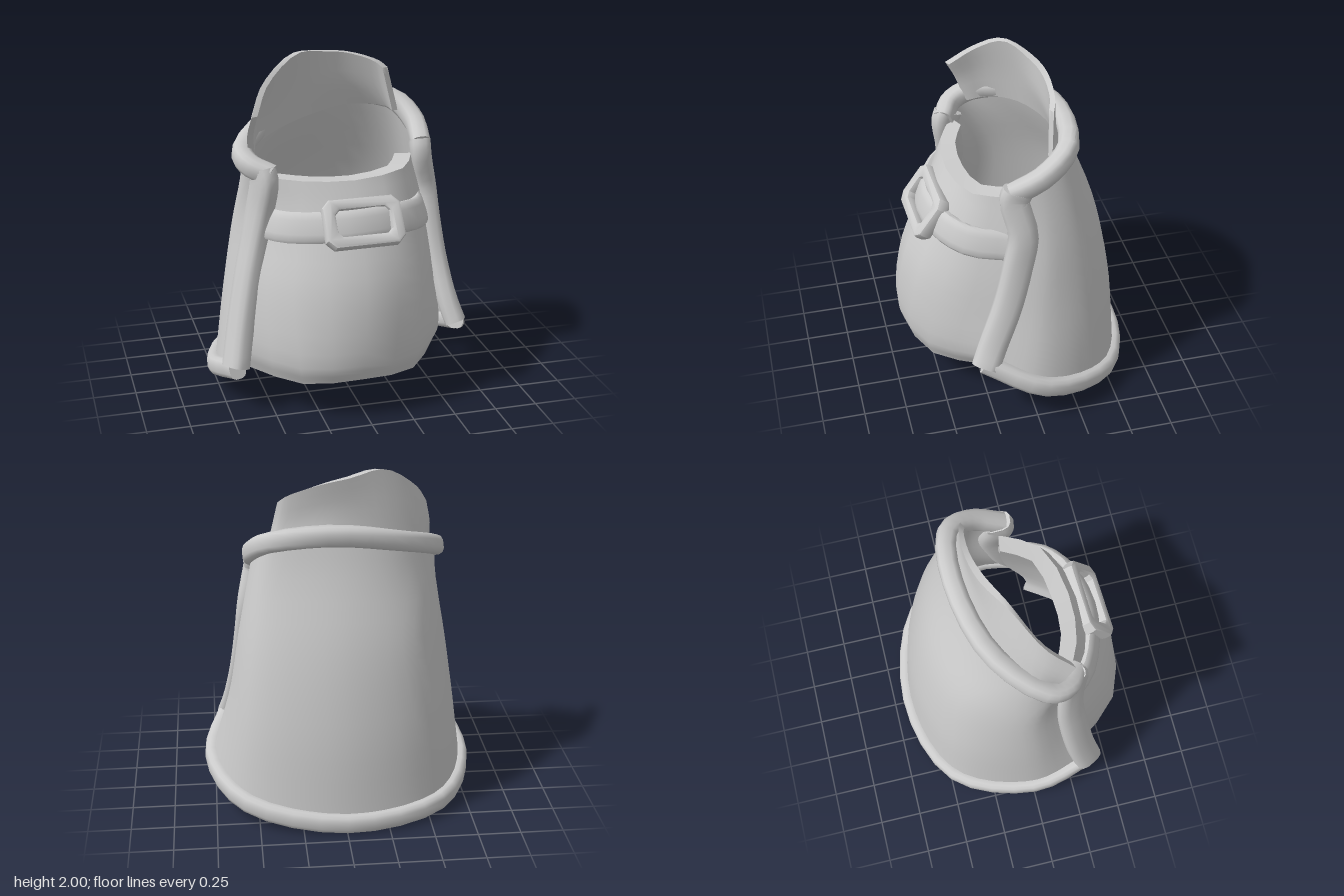
import * as THREE from 'three';
import { toCreasedNormals } from 'three/addons/utils/BufferGeometryUtils.js';

const V = (p) => new THREE.Vector3(...p);
const curve = (pts) => new THREE.CatmullRomCurve3(pts.map((p) => (p.isVector3 ? p : V(p))), false, 'centripetal');
const material = new THREE.MeshStandardMaterial({ color: 0xcccccc, side: THREE.DoubleSide });

// Skin a list of closed rings, closing both ends flat
function skin(name, rings) {
  const fold = (r) => r.map((p, j) => p.clone().lerp(r[r.length - 1 - j], 0.5));
  const all = [fold(rings[0]), ...rings, fold(rings[rings.length - 1])];
  const n = rings[0].length, pos = [], idx = [];
  all.forEach((r) => r.forEach((p) => pos.push(p.x, p.y, p.z)));
  for (let i = 0; i < all.length - 1; i++) {
    for (let j = 0; j < n; j++) {
      const k = (j + 1) % n;
      const a = i * n + j, b = i * n + k, c = (i + 1) * n + k, d = (i + 1) * n + j;
      idx.push(a, b, c, a, c, d);
    }
  }
  const g = new THREE.BufferGeometry();
  g.setAttribute('position', new THREE.Float32BufferAttribute(pos, 3));
  g.setIndex(idx);
  const mesh = new THREE.Mesh(toCreasedNormals(g, 0.85), material);
  mesh.name = name;
  return mesh;
}

// Thick cloth lofted through rows (top to bottom), thickened towards the centre
function shell(name, rows, thickTop, thickBottom, cols, steps) {
  const rowCurves = rows.map(curve), rings = [];
  for (let i = 0; i <= cols; i++) {
    const down = curve(rowCurves.map((c) => c.getPoint(i / cols)));
    const outer = down.getPoints(steps);
    const inner = outer.map((p, j) => {
      const s = 1 - THREE.MathUtils.lerp(thickTop, thickBottom, j / steps) / Math.hypot(p.x, p.z);
      return new THREE.Vector3(p.x * s, p.y, p.z * s);
    });
    rings.push([...outer, ...inner.reverse()]);
  }
  return skin(name, rings);
}

// Padded band swept along a path: w is half width, h is half thickness
function band(name, pts, w, h, segs, lean = 0, power = 0.7) {
  const c = curve(pts), rings = [];
  for (let i = 0; i <= segs; i++) {
    const p = c.getPoint(i / segs), t = c.getTangent(i / segs);
    const n = new THREE.Vector3(p.x, 0, p.z).normalize();
    n.y = lean;
    n.addScaledVector(t, -n.dot(t)).normalize();
    const b = new THREE.Vector3().crossVectors(t, n);
    const ring = [];
    for (let j = 0; j < 12; j++) {
      const a = ((j + 0.5) / 12) * Math.PI * 2;
      const bend = (v) => Math.sign(v) * Math.abs(v) ** power;
      ring.push(p.clone().addScaledVector(n, h * bend(Math.cos(a))).addScaledVector(b, w * bend(Math.sin(a))));
    }
    rings.push(ring);
  }
  return skin(name, rings);
}

// Rectangle with cut corners
function cutRect(target, w, h, c) {
  const pts = [[-w + c, -h], [w - c, -h], [w, -h + c], [w, h - c], [w - c, h], [-w + c, h], [-w, h - c], [-w, -h + c]];
  return target.setFromPoints(pts.map(([x, y]) => new THREE.Vector2(x, y)));
}

export function createModel() {
  const model = new THREE.Group();
  model.name = 'openCoat';

  // Coat, from the left front edge around the back to the right front edge
  const neck = [[0.48, 1.45, 0.09], [0.49, 1.55, -0.09], [0.4, 1.65, -0.24], [0.05, 1.69, -0.275],
    [-0.35, 1.61, -0.16], [-0.59, 1.49, 0.1], [-0.57, 1.44, 0.22], [-0.46, 1.39, 0.29]];
  const chest = [[0.53, 1.12, 0.05], [0.58, 1.1, -0.12], [0.48, 1.13, -0.35], [0.02, 1.15, -0.475],
    [-0.43, 1.12, -0.34], [-0.63, 1.08, 0], [-0.56, 1.08, 0.22]];
  const waist = [[0.58, 0.72, 0.15], [0.65, 0.67, -0.1], [0.53, 0.64, -0.43], [0, 0.62, -0.595],
    [-0.51, 0.62, -0.43], [-0.7, 0.64, 0], [-0.63, 0.68, 0.26]];
  const hem = [[0.65, 0.4, 0.3], [0.76, 0.24, -0.05], [0.56, 0.13, -0.47], [0, 0.065, -0.645],
    [-0.56, 0.09, -0.47], [-0.765, 0.15, 0], [-0.7, 0.27, 0.38]];
  model.add(shell('coat', [neck, chest, waist, hem], 0.03, 0.03, 32, 14));

  // Padded trim around the coat edges
  model.add(band('neckTrim', neck, 0.06, 0.058, 24));
  model.add(band('hemTrim', hem, 0.058, 0.05, 24));
  model.add(band('leftFrontTrim', [[0.48, 1.47, 0.06], [0.48, 1.41, 0.08], [0.525, 1.2, 0.04], [0.545, 1, 0.075],
    [0.575, 0.75, 0.14], [0.62, 0.5, 0.24], [0.655, 0.38, 0.29]], 0.085, 0.062, 20));
  model.add(band('rightFrontTrim', [[-0.51, 1.41, 0.25], [-0.5, 1.36, 0.27], [-0.52, 1.2, 0.25], [-0.56, 1, 0.245],
    [-0.605, 0.8, 0.265], [-0.665, 0.5, 0.31], [-0.705, 0.28, 0.36]], 0.09, 0.06, 20));

  // Standing collar, slightly waisted below its upper lip
  model.add(shell('collar', [
    [[0.35, 1.86, -0.17], [0.3, 1.9, -0.19], [0.12, 1.96, -0.2], [-0.06, 1.985, -0.16], [-0.27, 2, -0.04],
      [-0.47, 1.86, 0.1], [-0.56, 1.72, 0.25]],
    [[0.38, 1.73, -0.16], [0.33, 1.76, -0.19], [0.12, 1.8, -0.2], [-0.08, 1.8, -0.17], [-0.3, 1.77, -0.09],
      [-0.51, 1.68, 0.06], [-0.575, 1.6, 0.19]],
    [[0.41, 1.6, -0.15], [0.38, 1.62, -0.2], [0.1, 1.64, -0.24], [-0.3, 1.57, -0.14], [-0.53, 1.49, 0.02], [-0.56, 1.46, 0.14]],
  ], 0.04, 0.04, 20, 6));

  // Shirt front, bulging over the belly and tucked in at the bottom
  model.add(shell('shirtFront', [
    [[-0.49, 1.37, 0.24], [-0.3, 1.36, 0.34], [0, 1.35, 0.37], [0.31, 1.37, 0.28], [0.43, 1.39, 0.06]],
    [[-0.55, 1.1, 0.2], [-0.33, 1.1, 0.42], [0, 1.1, 0.5], [0.34, 1.1, 0.38], [0.5, 1.1, 0.08]],
    [[-0.63, 0.75, 0.25], [-0.4, 0.75, 0.53], [0, 0.75, 0.645], [0.37, 0.75, 0.49], [0.55, 0.75, 0.14]],
    [[-0.64, 0.35, 0.3], [-0.38, 0.34, 0.61], [-0.03, 0.35, 0.685], [0.33, 0.34, 0.57], [0.55, 0.36, 0.28]],
    [[-0.61, 0.23, 0.28], [-0.36, 0.23, 0.58], [-0.03, 0.255, 0.66], [0.31, 0.23, 0.54], [0.52, 0.26, 0.25]],
  ], 0.1, 0.02, 8, 16));

  // Belt strap
  model.add(band('belt', [[-0.52, 1.11, 0.24], [-0.4, 1.11, 0.38], [-0.2, 1.12, 0.47], [0, 1.13, 0.5],
    [0.25, 1.13, 0.44], [0.4, 1.11, 0.31], [0.47, 1.09, 0.08]], 0.09, 0.035, 16, 0.35, 0.6));

  // Buckle frame, leaning back with the belly
  const frame = cutRect(new THREE.Shape(), 0.212, 0.124, 0.035);
  frame.holes.push(cutRect(new THREE.Path(), 0.175, 0.094, 0.035));
  const frameGeo = new THREE.ExtrudeGeometry(frame, {
    depth: 0.04, bevelEnabled: true, bevelThickness: 0.022, bevelSize: 0.018, bevelSegments: 2,
  });
  frameGeo.translate(0, 0, -0.02);
  const buckle = new THREE.Mesh(toCreasedNormals(frameGeo, 0.7), material);
  buckle.name = 'buckle';
  buckle.position.set(0.01, 1.14, 0.5);
  buckle.rotation.set(-0.62, 0.03, 0.02);
  model.add(buckle);

  return model;
}
